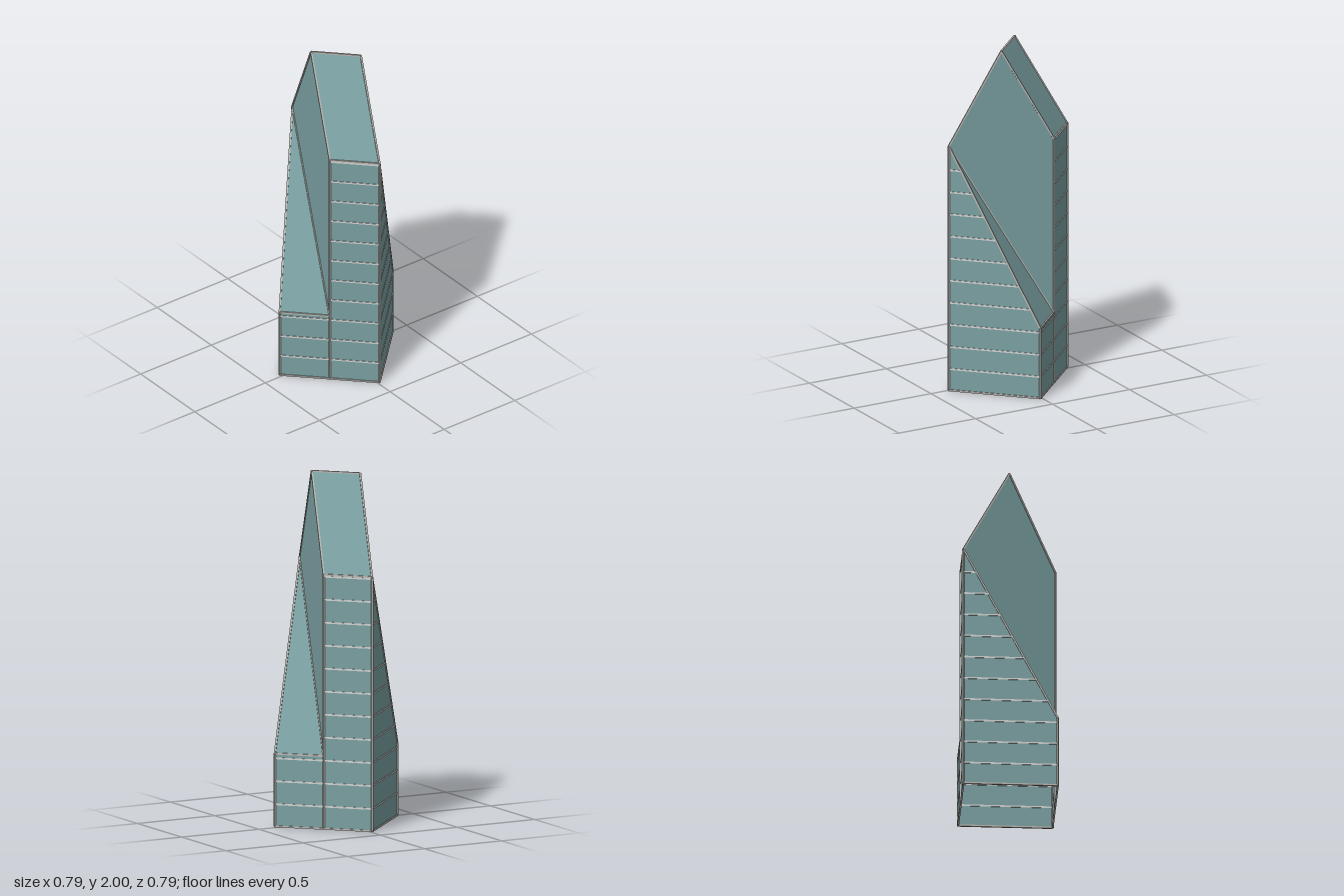
import * as THREE from 'three';

const LOW = 0.42, HIGH = 1.455, TOP = 1.995, BASE = 0.005;

export function createModel() {
  const glass = new THREE.MeshStandardMaterial({ color: 0x7a9fa1, side: THREE.DoubleSide });
  glass.name = 'tealGlass';
  const trim = new THREE.MeshStandardMaterial({ color: 0xb9b7b2 });
  trim.name = 'greyTrim';
  const band = new THREE.MeshStandardMaterial({ color: 0xd0d3d1 });
  band.name = 'paleBand';

  // Plan corners of the rotated square; the other half is a half turn of this one
  const A = [-0.39, 0.01], D = [-0.015, 0.388], E = [0.188, 0.188], C = [0.39, -0.01];
  const P = [-0.101, 0.099], Q = [0.101, -0.099];
  const at = ([x, z], y) => new THREE.Vector3(x, y, z);

  // Flat convex panel, corners counter-clockwise from outside
  const panel = (name, pts) => {
    const pos = [];
    for (let i = 1; i < pts.length - 1; i++) {
      for (const p of [pts[0], pts[i], pts[i + 1]]) pos.push(p.x, p.y, p.z);
    }
    const geo = new THREE.BufferGeometry();
    geo.setAttribute('position', new THREE.Float32BufferAttribute(pos, 3));
    geo.computeVertexNormals();
    const mesh = new THREE.Mesh(geo, glass);
    mesh.name = name;
    return mesh;
  };

  // Slim box running between two points
  const beam = (name, a, b, w, h, material) => {
    const mesh = new THREE.Mesh(new THREE.BoxGeometry(w, h, a.distanceTo(b)), material);
    mesh.position.copy(a).add(b).multiplyScalar(0.5);
    mesh.lookAt(b);
    mesh.name = name;
    return mesh;
  };

  const buildHalf = () => {
    const half = new THREE.Group();
    const [A0, D0, E0, C0] = [A, D, E, C].map((p) => at(p, BASE));
    const [Ah, Eh, Ch] = [A, E, C].map((p) => at(p, HIGH));
    const Dl = at(D, LOW), El = at(E, LOW), Pt = at(P, TOP), Qt = at(Q, TOP);

    // Walls and roofs
    half.add(
      panel('taperedWall', [A0, D0, Dl, Ah]),
      panel('lowWall', [D0, E0, El, Dl]),
      panel('tallWall', [E0, C0, Ch, Eh]),
      panel('wedgeRoof', [Dl, El, Ah]),
      panel('gableWall', [El, Eh, Pt, Ah]),
      panel('mainRoof', [Eh, Ch, Qt, Pt]),
    );

    // Trim along the edges
    const edges = [
      [A0, D0], [D0, E0], [E0, C0], [A0, Ah], [D0, Dl], [E0, Eh],
      [Ah, Dl], [Dl, El], [El, Ah], [Ah, Pt], [Pt, Eh], [Eh, Ch],
    ];
    for (const [a, b] of edges) half.add(beam('edgeTrim', a, b, 0.01, 0.01, trim));

    // Floor bands, cut short where the wedge roof slopes
    for (let i = 1; i <= 11; i++) {
      const y = i * 0.1313;
      const t = Math.min(1, (HIGH - y) / (HIGH - LOW));
      const a = at(A, y);
      half.add(beam('floorBand', a, a.clone().lerp(at(D, y), t), 0.006, 0.01, band));
      half.add(beam('floorBand', at(E, y), at(C, y), 0.006, 0.01, band));
      if (y < LOW) half.add(beam('floorBand', at(D, y), at(E, y), 0.006, 0.01, band));
    }
    return half;
  };

  const tower = new THREE.Group();
  tower.name = 'tower';
  const front = buildHalf();
  front.name = 'frontHalf';
  const back = buildHalf();
  back.name = 'backHalf';
  back.rotation.y = Math.PI;
  tower.add(front, back, beam('ridgeTrim', at(P, TOP), at(Q, TOP), 0.01, 0.01, trim));
  return tower;
}
